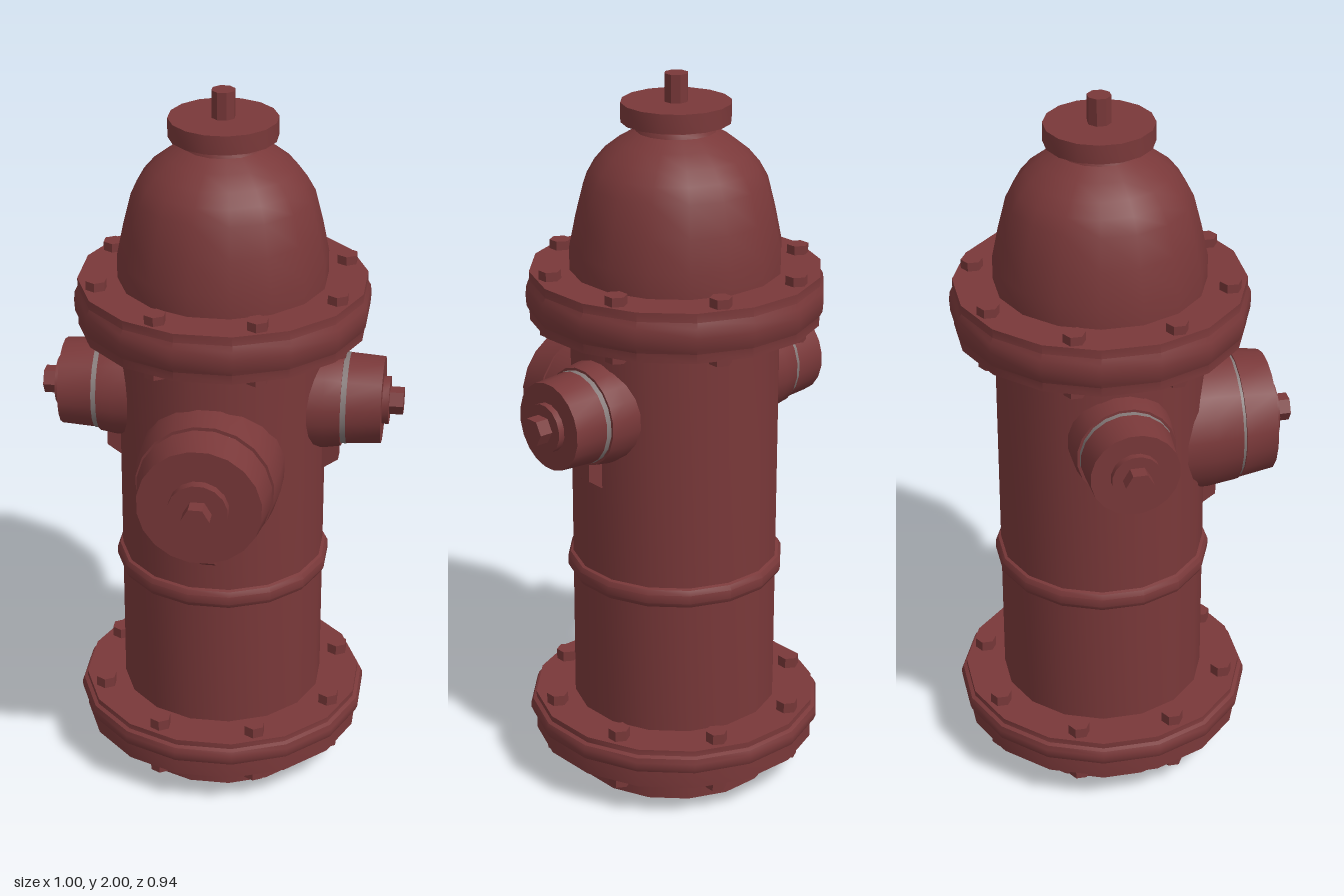
import * as THREE from 'three';
import { toCreasedNormals } from 'three/addons/utils/BufferGeometryUtils.js';

const red = new THREE.MeshStandardMaterial({ color: 0x793839 });
red.name = 'weathered red';
const grey = new THREE.MeshStandardMaterial({ color: 0x857a79 });
grey.name = 'worn steel';

const SIDES = 16;

function add(parent, name, geometry, material = red) {
  const mesh = new THREE.Mesh(geometry, material);
  mesh.name = name;
  parent.add(mesh);
  return mesh;
}

// Turned part from [radius, height] pairs; radii are measured to the flats
function turned(profile, sides = SIDES) {
  const k = 1 / Math.cos(Math.PI / sides);
  const points = profile.map(([r, y]) => new THREE.Vector2(r * k, y));
  const geometry = new THREE.LatheGeometry(points, sides, Math.PI / sides);
  return toCreasedNormals(geometry, 0.6);
}

// Eight hexagonal bolts above and below a flange
function addBolts(parent, name, bottom, top) {
  const group = new THREE.Group();
  group.name = name;
  const head = toCreasedNormals(new THREE.CylinderGeometry(0.03, 0.03, 0.05, 6), 0.5);
  for (let i = 0; i < 8; i++) {
    const a = ((i + 0.5) * Math.PI) / 4;
    for (const y of [bottom, top]) {
      add(group, 'bolt', head).position.set(0.35 * Math.sin(a), y, 0.35 * Math.cos(a));
    }
  }
  parent.add(group);
}

// Outlet pointing along +z; distances are measured from the barrel axis
function outlet(name, s) {
  const group = new THREE.Group();
  group.name = name;
  const along = (part, profile, sides = 20, material = red) => {
    add(group, part, turned(profile, sides), material).rotation.x = Math.PI / 2;
  };
  along('outletCollar', [[s.r, 0.16], [s.r, s.flare], [s.r * 0.95, s.seam], [0, s.seam]]);
  along('outletSeam', [[s.r * 0.9, s.seam - 0.005], [s.r * 0.9, s.seam + 0.015]], 20, grey);
  along('outletCap', [[0, s.seam + 0.01], [s.cap, s.seam + 0.01], [s.capEnd, s.end], [0, s.end]]);
  along('outletDisc', [[s.disc, s.end - 0.01], [s.disc, s.discEnd], [0, s.discEnd]], 16);
  along('outletNut', [[0.033, s.discEnd - 0.01], [0.033, s.nutEnd], [0, s.nutEnd]], 6);

  // Tapered lug hanging under the collar
  const lug = new THREE.Shape();
  lug.moveTo(0.25, -s.r + 0.03);
  lug.lineTo(0.25, -s.lug);
  lug.lineTo(0.282, -s.lug);
  lug.lineTo(s.lugEnd, -s.lug + 0.03);
  lug.lineTo(s.lugEnd, -s.r + 0.03);
  const lugMesh = add(group, 'outletLug',
    new THREE.ExtrudeGeometry(lug, { depth: 0.04, bevelEnabled: false }));
  lugMesh.rotation.y = -Math.PI / 2;
  lugMesh.position.x = 0.02;
  return group;
}

export function createModel() {
  const model = new THREE.Group();
  model.name = 'fireHydrant';
  const body = new THREE.Group();
  body.name = 'hydrantBody';
  body.position.z = -0.065;
  model.add(body);

  // Hollow barrel, open at the foot
  add(body, 'barrel', turned([
    [0, 1.4], [0.265, 1.4], [0.265, 0], [0.28, 0], [0.28, 1.36],
  ]));
  add(body, 'barrelBand', turned([
    [0.275, 0.595], [0.288, 0.6], [0.295, 0.613], [0.295, 0.637], [0.288, 0.65], [0.275, 0.655],
  ]));

  // Flanges with rounded rims
  add(body, 'baseFlange', turned([
    [0.27, 0.1], [0.39, 0.1], [0.39, 0.148], [0.4, 0.153], [0.405, 0.165],
    [0.405, 0.182], [0.4, 0.194], [0.39, 0.199], [0.39, 0.215], [0.27, 0.215],
  ]));
  add(body, 'bonnetFlange', turned([
    [0.27, 1.34], [0.386, 1.34], [0.386, 1.365], [0.394, 1.38], [0.396, 1.41],
    [0.394, 1.435], [0.386, 1.45], [0.386, 1.475], [0.27, 1.475],
  ]));
  addBolts(body, 'baseBolts', 0.095, 0.22);
  addBolts(body, 'bonnetBolts', 1.345, 1.475);

  // Domed bonnet and operating nut
  add(body, 'bonnet', turned([
    [0.28, 1.46], [0.28, 1.54], [0.262, 1.63], [0.241, 1.715], [0.219, 1.755],
    [0.19, 1.79], [0.15, 1.822], [0.105, 1.848], [0.1, 1.86], [0, 1.86],
  ]));
  add(body, 'topNeck', turned([[0.095, 1.85], [0.095, 1.88]]));
  add(body, 'topCap', turned([[0, 1.873], [0.144, 1.873], [0.144, 1.925], [0, 1.925]]));
  add(body, 'operatingNut', turned([[0.03, 1.92], [0.03, 2], [0, 2]], 8));

  // Large front outlet
  const front = outlet('frontOutlet', {
    r: 0.195, flare: 0.285, seam: 0.36, cap: 0.181, capEnd: 0.166, end: 0.463,
    disc: 0.08, discEnd: 0.49, nutEnd: 0.533, lug: 0.28, lugEnd: 0.325,
  });
  front.position.y = 1.01;
  body.add(front);

  // Mirrored side outlets
  for (const side of [-1, 1]) {
    const small = outlet(side > 0 ? 'leftOutlet' : 'rightOutlet', {
      r: 0.139, flare: 0.29, seam: 0.335, cap: 0.124, capEnd: 0.118, end: 0.444,
      disc: 0.065, discEnd: 0.462, nutEnd: 0.5, lug: 0.215, lugEnd: 0.325,
    });
    small.position.y = 1.128;
    small.rotation.y = (side * Math.PI) / 2;
    body.add(small);
  }
  return model;
}
